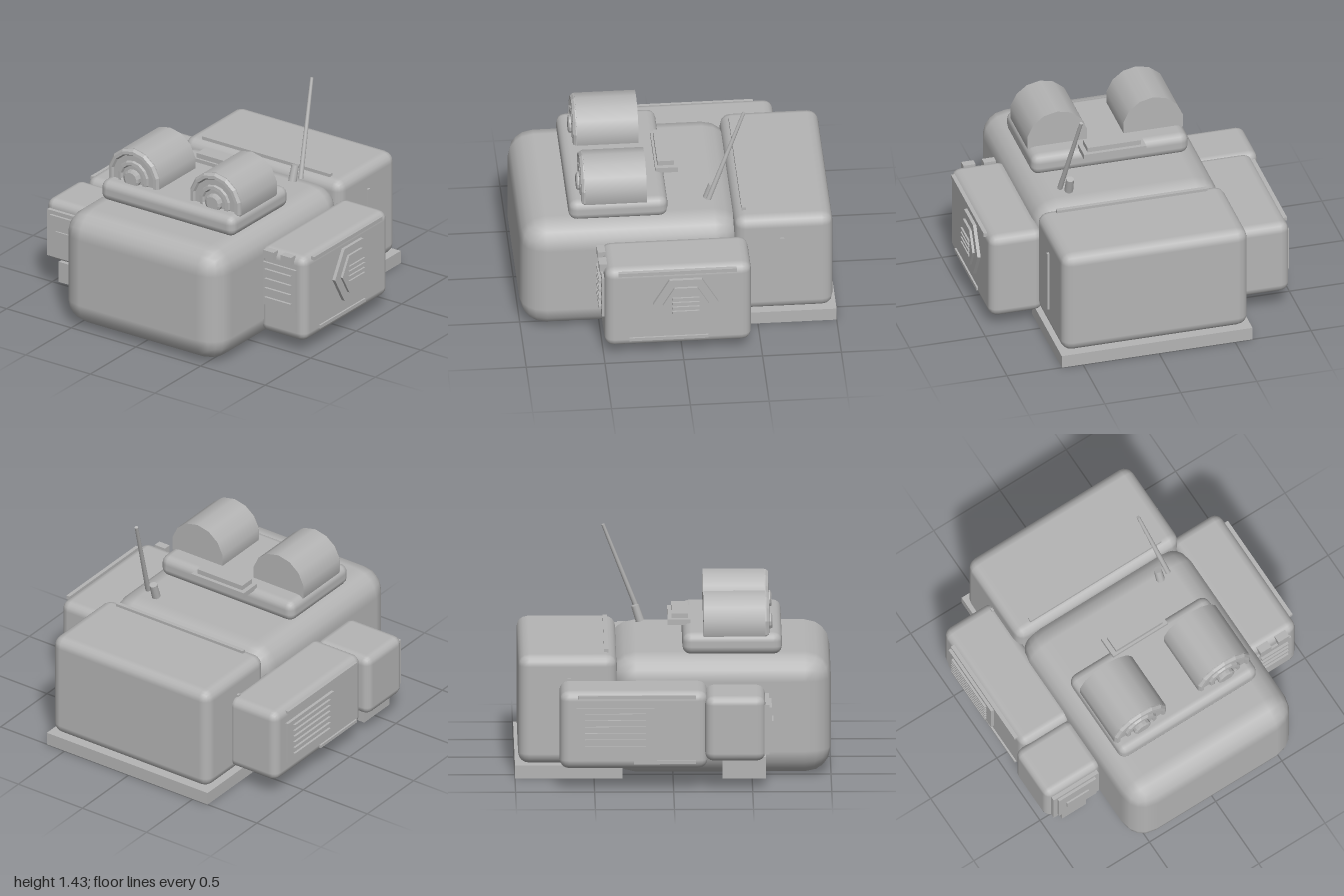
import * as THREE from 'three';
import { RoundedBoxGeometry } from 'three/addons/geometries/RoundedBoxGeometry.js';

export function createModel() {
  const root = new THREE.Group();
  root.name = 'equipmentPack';
  const grey = new THREE.MeshStandardMaterial({ color: 0xb4b4b4 });
  grey.name = 'plain grey';

  const add = (name, geometry, parent = root) => {
    const mesh = new THREE.Mesh(geometry, grey);
    mesh.name = name;
    parent.add(mesh);
    return mesh;
  };
  // boxes given by their extents on each axis
  const place = (mesh, x, y, z) =>
    mesh.position.set((x[0] + x[1]) / 2, (y[0] + y[1]) / 2, (z[0] + z[1]) / 2);
  const box = (name, x, y, z, parent) =>
    place(add(name, new THREE.BoxGeometry(x[1] - x[0], y[1] - y[0], z[1] - z[0]), parent), x, y, z);
  const rounded = (name, x, y, z, radius) =>
    place(add(name, new RoundedBoxGeometry(x[1] - x[0], y[1] - y[0], z[1] - z[0], 2, radius)), x, y, z);
  // tapered rod between two points
  const rod = (name, a, b, r0, r1) => {
    const from = new THREE.Vector3(...a), to = new THREE.Vector3(...b);
    const dir = to.clone().sub(from);
    const mesh = add(name, new THREE.CylinderGeometry(r1, r0, dir.length(), 10));
    mesh.position.copy(from).add(to).multiplyScalar(0.5);
    mesh.quaternion.setFromUnitVectors(new THREE.Vector3(0, 1, 0), dir.normalize());
  };

  // large bodies
  rounded('mainBody', [-0.605, 0.63], [0.005, 0.785], [-0.4, 1], 0.165);
  rounded('rearPack', [-0.6, 0.625], [0.085, 0.79], [-0.98, -0.355], 0.07);
  box('basePlate', [-0.615, 0.64], [0, 0.085], [-1, -0.32]);
  rounded('leftPod', [0.59, 0.95], [0.08, 0.67], [-0.435, 0.495], 0.06);
  rounded('rightPod', [-0.945, -0.56], [0.13, 0.635], [-0.72, 0.215], 0.06);
  rounded('rightFrontBox', [-1, -0.58], [0.19, 0.612], [0.2, 0.58], 0.055);
  box('rightFoot', [-0.89, -0.71], [0.06, 0.2], [0.31, 0.585]);

  // rear pack trim
  box('rearTopRail', [-0.48, 0.51], [0.78, 0.808], [-0.435, -0.408]);
  for (const x of [-0.605, 0.63])
    box('rearSideRail', [x - 0.01, x + 0.01], [0.235, 0.645], [-0.668, -0.645]);

  // stepped panel on the right front box
  box('frontPanel', [-0.965, -0.625], [0.235, 0.555], [0.57, 0.605]);
  box('frontInnerPanel', [-0.935, -0.655], [0.265, 0.53], [0.6, 0.622]);
  box('frontLatch', [-0.88, -0.715], [0.365, 0.43], [0.615, 0.633]);

  // drum platform and the stepped handle behind it
  rounded('drumPlatform', [-0.505, 0.53], [0.77, 0.912], [0.06, 0.69], 0.055);
  box('handleBase', [-0.195, 0.215], [0.9, 0.936], [-0.03, 0.115]);
  box('handleTop', [-0.165, 0.185], [0.936, 0.968], [-0.005, 0.1]);

  // drums with ringed front faces
  const ringProfile = [
    [0.198, 0.575], [0.198, 0.592], [0.185, 0.608], [0.165, 0.61], [0.155, 0.595], [0.118, 0.595],
    [0.112, 0.61], [0.09, 0.612], [0.082, 0.598], [0.06, 0.598], [0.06, 0.622], [0.045, 0.63], [0, 0.63],
  ].map(([r, z]) => new THREE.Vector2(r, z));
  for (const x of [-0.303, 0.328]) {
    const drum = new THREE.Group();
    drum.name = 'drum';
    drum.position.set(x, 0.945, 0);
    drum.rotation.x = Math.PI / 2;
    root.add(drum);
    const shell = add('drumShell', new THREE.CylinderGeometry(0.2, 0.2, 0.39, 14), drum);
    shell.position.y = 0.39;
    const face = new THREE.LatheGeometry(ringProfile, 14).toNonIndexed();
    face.computeVertexNormals();
    add('drumFace', face, drum);
  }

  // hexagonal speaker on the left pod
  for (const [name, r, x0, x1] of [['speakerRim', 0.207, 0.94, 0.972], ['speakerPlate', 0.147, 0.96, 0.988]]) {
    const geo = new THREE.CylinderGeometry(r, r, x1 - x0, 6).toNonIndexed();
    geo.computeVertexNormals();
    geo.rotateZ(-Math.PI / 2);
    add(name, geo).position.set((x0 + x1) / 2, 0.415, -0.015);
  }
  for (let i = 0; i < 4; i++) {
    const y = 0.365 + i * 0.034;
    box('speakerSlat', [0.98, 1], [y - 0.008, y + 0.008], [-0.1, 0.07]);
  }
  box('podUpperRail', [0.94, 0.965], [0.635, 0.66], [-0.34, 0.41]);
  box('podLowerRail', [0.94, 0.962], [0.135, 0.157], [-0.16, 0.34]);

  // front grille and buttons on the left pod
  box('podGrille', [0.635, 0.89], [0.285, 0.58], [0.48, 0.51]);
  for (const y of [0.335, 0.4, 0.465, 0.53])
    box('podGrilleSlat', [0.66, 0.86], [y - 0.01, y + 0.01], [0.5, 0.527]);
  for (const x of [0.65, 0.785])
    box('podButton', [x, x + 0.08], [0.615, 0.67], [0.475, 0.525]);

  // side grille on the right pod
  box('ventPlate', [-0.965, -0.93], [0.24, 0.53], [-0.615, -0.12]);
  for (let i = 0; i < 6; i++) {
    const y = 0.28 + i * 0.042;
    box('ventSlat', [-0.98, -0.955], [y - 0.01, y + 0.01], [-0.56, -0.175]);
  }
  box('rightPodUpperRail', [-0.957, -0.93], [0.59, 0.612], [-0.6, 0.14]);
  box('rightPodLowerRail', [-0.957, -0.93], [0.17, 0.19], [-0.25, 0.14]);

  // tilted aerial
  rod('aerialSocket', [0.365, 0.8, -0.2], [0.365, 0.9, -0.232], 0.028, 0.025);
  rod('aerialMast', [0.425, 0.83, -0.205], [0.35, 1.43, -0.435], 0.017, 0.011);

  return root;
}
